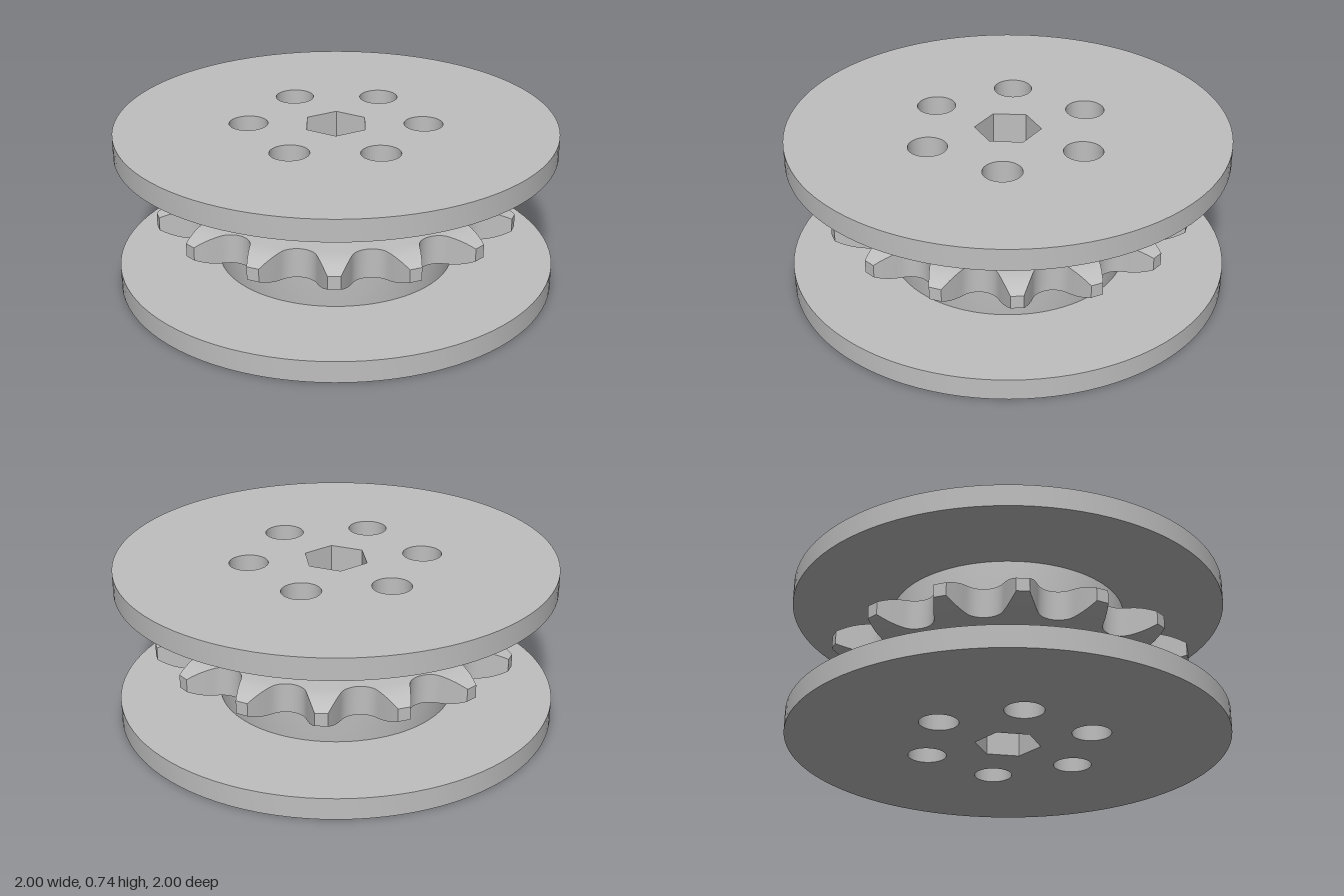
import * as THREE from 'three';
import { toCreasedNormals } from 'three/addons/utils/BufferGeometryUtils.js';

const TEETH = 15, MID = 0.37, HALF = 0.067, TIP_R = 0.83;

// Disc outline with a hexagonal bore and six round holes
function drilledDisc(radius) {
  const shape = new THREE.Shape().absarc(0, 0, radius, 0, Math.PI * 2, false);
  const hex = [];
  for (let i = 0; i < 6; i++) {
    const a = Math.PI / 6 + (i * Math.PI) / 3;
    hex.push(new THREE.Vector2(0.15 * Math.cos(a), 0.15 * Math.sin(a)));
    const b = (i * Math.PI) / 3;
    shape.holes.push(new THREE.Path().absarc(0.394 * Math.cos(b), 0.394 * Math.sin(b), 0.088, 0, Math.PI * 2, true));
  }
  shape.holes.push(new THREE.Path(hex.reverse()));
  return shape;
}

function extrudeUp(shape, y, height, steps = 1) {
  const g = new THREE.ExtrudeGeometry(shape, { depth: height, steps, bevelEnabled: false, curveSegments: 48 });
  return g.rotateX(-Math.PI / 2).translate(0, y, 0);
}

// Half of one tooth gap as [angle, radius], from the valley centre to the tooth tip corner
function halfGap() {
  const pts = [];
  const toPolar = (x, y) => pts.push([Math.atan2(x, y), Math.hypot(x, y)]);
  const cy = 0.758, rr = 0.09, end = Math.PI / 3;
  for (let i = 0; i <= 7; i++) {
    const a = (end * i) / 7;
    toPolar(rr * Math.sin(a), cy - rr * Math.cos(a));
  }
  const sx = rr * Math.sin(end), sy = cy - rr * Math.cos(end);
  const tip = Math.PI / TEETH - 0.028 / TIP_R;
  const flank = new THREE.QuadraticBezierCurve(
    new THREE.Vector2(sx, sy),
    new THREE.Vector2(sx + 0.06 * Math.cos(end), sy + 0.06 * Math.sin(end)),
    new THREE.Vector2(TIP_R * Math.sin(tip), TIP_R * Math.cos(tip)));
  flank.getPoints(5).slice(1).forEach((p) => toPolar(p.x, p.y));
  return pts;
}

// Toothed ring whose faces curve down towards the tooth tips
function sprocketGeometry() {
  const half = halfGap();
  const gap = [...half.slice(1).reverse().map(([a, r]) => [-a, r]), ...half];
  const outline = [];
  for (let t = 0; t < TEETH; t++) {
    const centre = ((t + 0.5) * 2 * Math.PI) / TEETH;
    gap.forEach(([a, r]) => outline.push([centre + a, r]));
  }
  const thickness = (r) => HALF - 0.037 * (Math.max(0, r - 0.69) / (TIP_R - 0.69)) ** 2;
  const steps = [0, 0.25, 0.5, 0.75, 1];
  const ringRadii = [() => 0.5, ...steps.map((s) => (r) => {
    const start = Math.min(0.69, r - 0.01);
    return start + (r - start) * s;
  })];
  const point = (f, [a, r], side) => {
    const q = f(r);
    return [q * Math.sin(a), MID + side * thickness(q), q * Math.cos(a)];
  };
  const rings = [
    ...ringRadii.map((f) => outline.map((o) => point(f, o, 1))),
    ...[...ringRadii].reverse().map((f) => outline.map((o) => point(f, o, -1))),
  ];
  const n = outline.length, index = [];
  for (let i = 0; i < rings.length - 1; i++) {
    for (let k = 0; k < n; k++) {
      const a = i * n + k, b = i * n + ((k + 1) % n);
      index.push(a, a + n, b, b, a + n, b + n);
    }
  }
  const g = new THREE.BufferGeometry();
  g.setAttribute('position', new THREE.Float32BufferAttribute(rings.flat(2), 3));
  g.setIndex(index);
  return g;
}

export function createModel() {
  const group = new THREE.Group();
  const metal = new THREE.MeshStandardMaterial({ color: 0xbfbfbf });
  metal.name = 'grey metal';
  const add = (name, geometry) => {
    const mesh = new THREE.Mesh(toCreasedNormals(geometry, 0.6), metal);
    mesh.name = name;
    group.add(mesh);
  };

  // Guide flanges
  const flange = drilledDisc(1);
  add('lowerFlange', extrudeUp(flange, 0, 0.1));
  add('upperFlange', extrudeUp(flange, 0.64, 0.1));

  // Hub, slightly wider at its middle
  const hub = extrudeUp(drilledDisc(0.54), 0.1, 0.54, 2);
  const p = hub.attributes.position;
  for (let i = 0; i < p.count; i++) {
    const r = Math.hypot(p.getX(i), p.getZ(i));
    if (r > 0.52 && Math.abs(p.getY(i) - MID) < 0.01) {
      p.setX(i, (p.getX(i) * 0.56) / r);
      p.setZ(i, (p.getZ(i) * 0.56) / r);
    }
  }
  add('hub', hub);

  // Toothed wheel around the hub
  add('sprocket', sprocketGeometry());
  return group;
}
